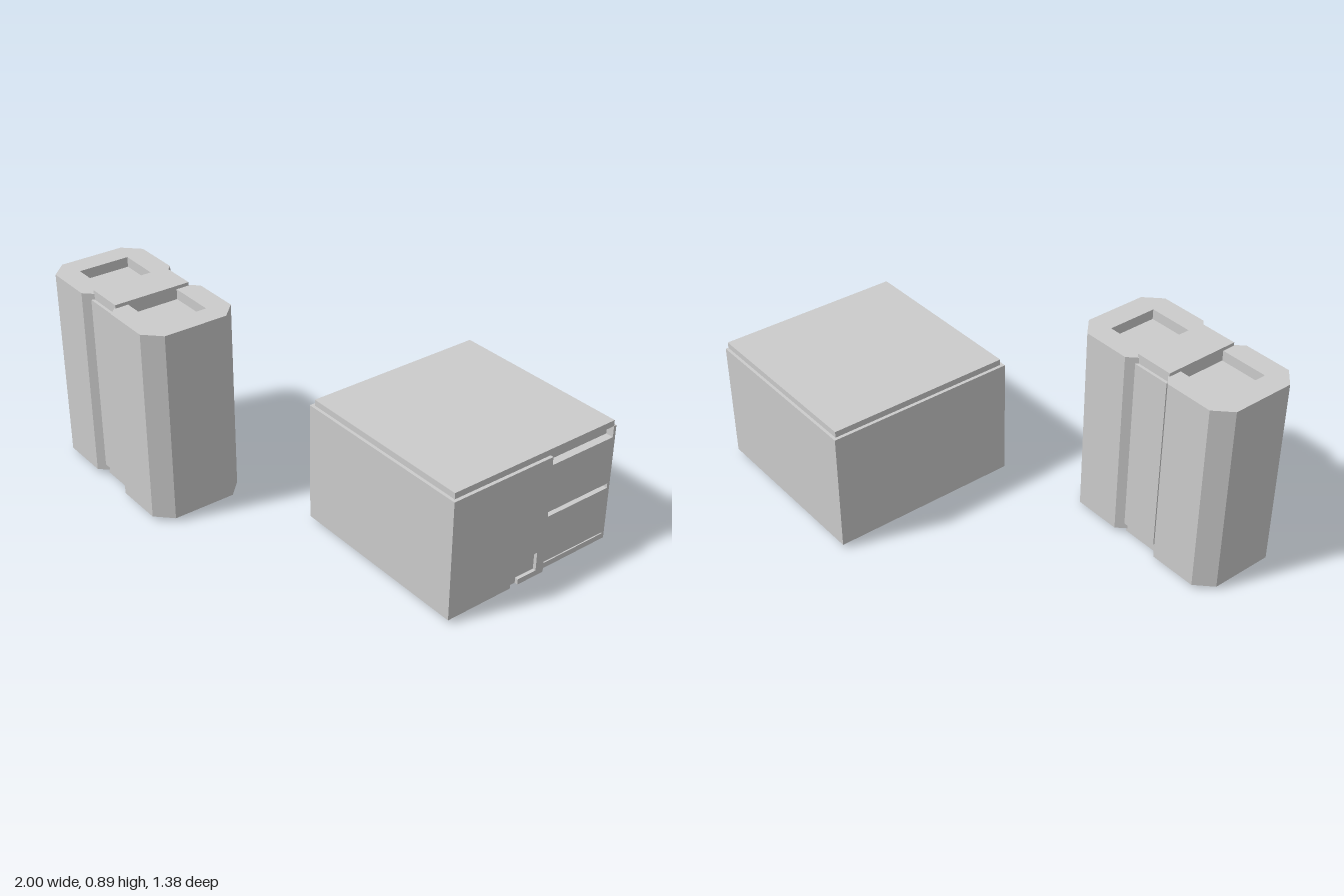
import * as THREE from 'three';

const material = new THREE.MeshStandardMaterial({ color: 0xcccccc, flatShading: true });

function add(parent, name, geometry) {
  const mesh = new THREE.Mesh(geometry, material);
  mesh.name = name;
  parent.add(mesh);
  return mesh;
}

// Box given by its lower and upper limits on each axis
function boxBetween(x0, x1, y0, y1, z0, z1) {
  return new THREE.BoxGeometry(x1 - x0, y1 - y0, z1 - z0)
    .translate((x0 + x1) / 2, (y0 + y1) / 2, (z0 + z1) / 2);
}

const toShape = (points) => new THREE.Shape(points.map(([x, y]) => new THREE.Vector2(x, y)));
const extrude = (shape, depth) => new THREE.ExtrudeGeometry(shape, { depth, bevelEnabled: false });

// Twin chamfered blocks joined by a waist, with sunken ends and a central strap
function createTwinCase() {
  const group = new THREE.Group();
  group.name = 'twinCase';
  const quarter = [[0.407, 0.143], [0.337, 0.213], [0.118, 0.213], [0.078, 0.172]];
  const upper = [...quarter, ...quarter.map(([x, z]) => [-x, z]).reverse()];
  const outline = [...upper, ...upper.map(([x, z]) => [-x, -z])];

  const layer = (name, y0, y1, hollow) => {
    const shape = toShape(outline);
    if (hollow) {
      shape.holes.push(new THREE.Path([[-0.305, -0.115], [-0.305, 0.115], [0.305, 0.115], [0.305, -0.115]]
        .map(([x, z]) => new THREE.Vector2(x, z))));
    }
    add(group, name, extrude(shape, y1 - y0).rotateX(-Math.PI / 2).translate(0, y0, 0));
  };
  layer('lowerRim', 0.016, 0.061, true);
  layer('caseBody', 0.061, 0.826, false);
  layer('upperRim', 0.826, 0.871, true);

  add(group, 'strapCore', boxBetween(-0.087, 0.087, 0, 0.886, -0.174, 0.174));
  add(group, 'strapFaces', boxBetween(-0.087, 0.087, 0.045, 0.845, -0.187, 0.187));
  group.position.set(-0.593, 0, 0.477);
  return group;
}

// Low cabinet with a lid, a notched side plate and grooves beside it
function createCabinet() {
  const group = new THREE.Group();
  group.name = 'cabinet';
  const left = 0.14, face = 0.985, bottom = 0.017, top = 0.553;

  add(group, 'frontBody', boxBetween(left, face, bottom, top, -0.33, 0.167));
  add(group, 'backWall', boxBetween(left, face, bottom, top, -0.689, -0.676));
  add(group, 'lid', boxBetween(0.155, face, top, 0.58, -0.676, 0.153));

  // Grooved section: each groove cuts into the +x side
  const profile = [[left, top], [left, bottom], [face, bottom]];
  for (const [y0, y1] of [[0.042, 0.048], [0.264, 0.286], [0.502, top]]) {
    profile.push([face, y0], [face - 0.035, y0], [face - 0.035, y1]);
    if (y1 < top) profile.push([face, y1]);
  }
  add(group, 'groovedBody', extrude(toShape(profile), 0.346).translate(0, 0, -0.676));

  // Side plate with a stepped notch at the bottom edge
  const plate = toShape([
    [-0.33, bottom], [-0.193, bottom], [-0.193, 0.042], [-0.289, 0.042], [-0.289, 0.127],
    [-0.152, 0.127], [-0.152, bottom], [0.167, bottom], [0.167, top], [-0.33, top],
  ]);
  add(group, 'sidePlate', extrude(plate, 1 - face).rotateY(-Math.PI / 2).translate(1, 0, 0));
  return group;
}

export function createModel() {
  const model = new THREE.Group();
  model.name = 'caseAndCabinet';
  model.add(createTwinCase(), createCabinet());
  return model;
}
